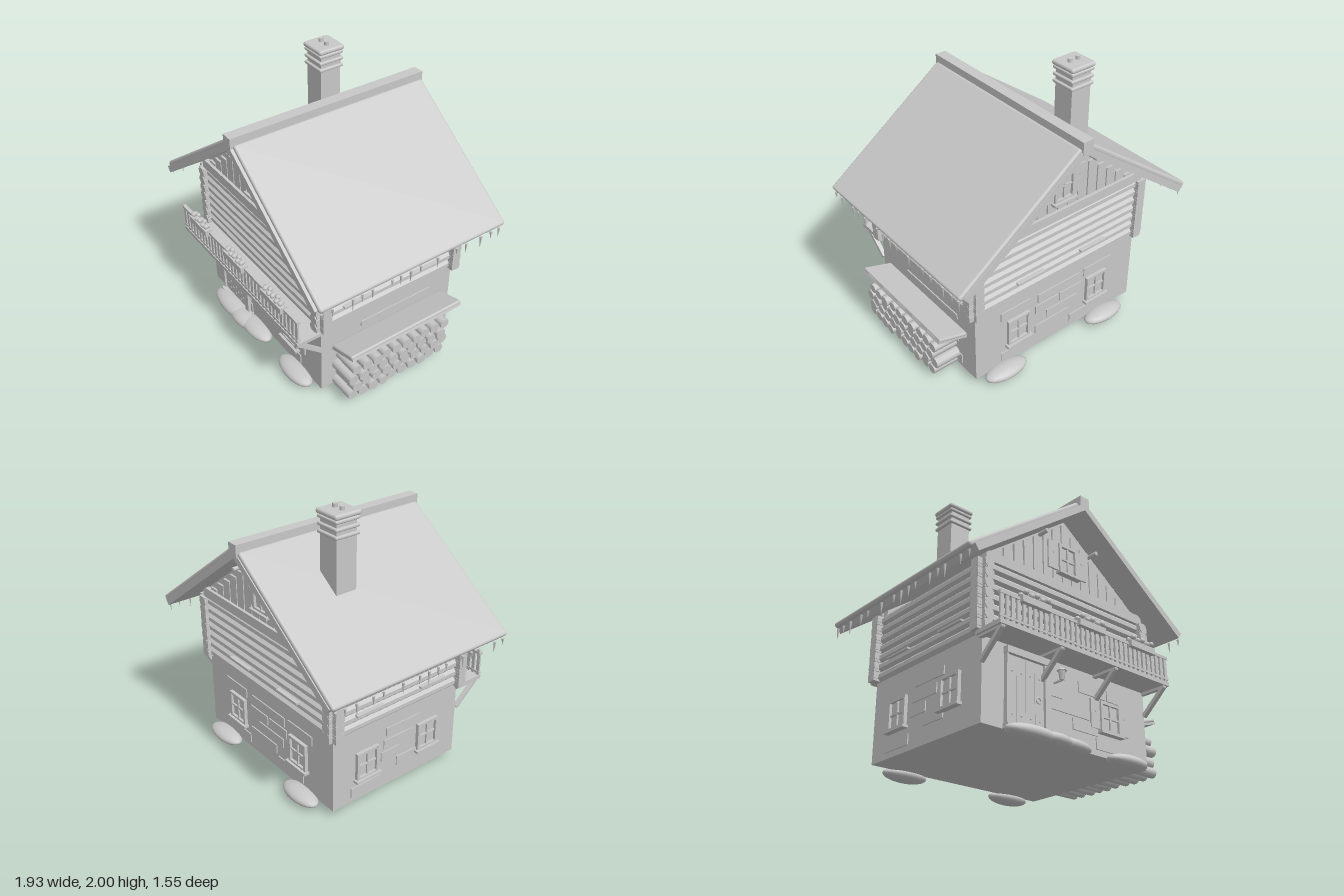
import * as THREE from 'three';
import { RoundedBoxGeometry } from 'three/addons/geometries/RoundedBoxGeometry.js';

const grey = new THREE.MeshStandardMaterial({ color: 0xc8c8c8 });
grey.name = 'plainGrey';

function add(parent, name, geo, x = 0, y = 0, z = 0, rx = 0, ry = 0, rz = 0) {
  const m = new THREE.Mesh(geo, grey);
  m.name = name;
  m.position.set(x, y, z);
  m.rotation.set(rx, ry, rz);
  parent.add(m);
  return m;
}
// box given by its limits
function box(parent, name, x0, x1, y0, y1, z0, z1) {
  return add(parent, name, new THREE.BoxGeometry(x1 - x0, y1 - y0, z1 - z0), (x0 + x1) / 2, (y0 + y1) / 2, (z0 + z1) / 2);
}
function group(parent, name, x = 0, y = 0, z = 0, ry = 0) {
  const g = new THREE.Group();
  g.name = name;
  g.position.set(x, y, z);
  g.rotation.y = ry;
  parent.add(g);
  return g;
}
// outline in x and y, extruded from z0 to z1
function prism(parent, name, pts, z0, z1) {
  const s = new THREE.Shape(pts.map(p => new THREE.Vector2(p[0], p[1])));
  return add(parent, name, new THREE.ExtrudeGeometry(s, { depth: z1 - z0, bevelEnabled: false }), 0, 0, z0);
}
const mirrored = half => half.concat(half.slice().reverse().filter(p => p[0] > 0).map(p => [-p[0], p[1]]));

// framed window with cross bars, sill and optional shutters; wall surface at z = 0
function window4(parent, x, y, w, h, shutter) {
  const g = group(parent, 'window', x, y, 0), a = w / 2, b = h / 2, t = 0.02;
  box(g, 'glass', -a, a, -b, b, -0.01, 0.006);
  for (const s of [-1, 1]) {
    box(g, 'frameSide', s * (a - t / 2) - t / 2, s * (a - t / 2) + t / 2, -b, b, 0, 0.025);
    box(g, 'frameRail', -a, a, s * (b - t / 2) - t / 2, s * (b - t / 2) + t / 2, 0, 0.024);
    if (shutter) {
      const c = s * (a + shutter / 2 + 0.002);
      box(g, 'shutter', c - shutter / 2, c + shutter / 2, -b + 0.015, b, 0, 0.013);
      add(g, 'shutterCutout', new THREE.CylinderGeometry(0.012, 0.012, 0.006, 3), c, 0.03, 0.014, Math.PI / 2);
    }
  }
  box(g, 'mullion', -0.006, 0.006, -b, b, 0, 0.018);
  box(g, 'crossBar', -a, a, -0.006, 0.006, 0, 0.018);
  box(g, 'sill', -a - 0.015, a + 0.015, -b - 0.012, -b + 0.006, 0, 0.042);
}
function stones(parent, list) {
  for (const [x0, x1, y0, y1] of list) box(parent, 'stone', x0, x1, y0, y1, -0.02, 0.008);
}

// vertical planks with stepped tops, beam and small window
function gable(parent, name, z, ry) {
  const g = group(parent, name, 0, 0, z, ry);
  prism(g, 'gableWall', [[-0.7, 1.1], [0.7, 1.1], [0.7, 1.175], [0, 1.69], [-0.7, 1.175]], -0.05, 0);
  box(g, 'gableBeam', -0.71, 0.71, 1.1, 1.17, 0, 0.035);
  for (let i = -7; i <= 7; i++) {
    const x = i * 0.0855, top = 1.65 - 0.728 * (Math.abs(x) + 0.036);
    if (top > 1.18) box(g, 'plank', x - 0.038, x + 0.038, 1.17, top, 0, 0.015);
  }
  const w = group(g, 'gableWindow', 0, 0, 0.014);
  window4(w, 0, 1.35, 0.165, 0.22, 0.09);
  for (const s of [-1, 1]) add(g, 'purlinEnd', new THREE.CylinderGeometry(0.015, 0.015, 0.08, 8), s * 0.23, 1.48, 0.04, Math.PI / 2);
}

export function createModel() {
  const house = new THREE.Group();
  house.name = 'chalet';

  // masonry ground floor
  box(house, 'baseWalls', -0.71, 0.71, 0.06, 0.62, -0.56, 0.54);
  const front = group(house, 'frontWall', 0, 0, 0.54);
  const back = group(house, 'backWall', 0, 0, -0.56, Math.PI);
  const left = group(house, 'sideWallWithWood', 0.71, 0, -0.01, Math.PI / 2);
  const right = group(house, 'sideWallPlain', -0.71, 0, -0.01, -Math.PI / 2);
  stones(front, [[0.08, 0.32, 0.445, 0.52], [0.34, 0.45, 0.445, 0.52], [-0.18, 0.17, 0.275, 0.345], [-0.18, -0.065, 0.36, 0.435],
    [0.02, 0.24, 0.185, 0.26], [0.225, 0.47, 0.1, 0.175], [-0.2, -0.165, 0.06, 0.17]]);
  stones(back, [[-0.18, 0.2, 0.45, 0.52], [-0.5, -0.25, 0.46, 0.53], [0.24, 0.5, 0.46, 0.53], [-0.2, 0, 0.36, 0.43], [0.02, 0.22, 0.36, 0.43],
    [-0.1, 0.18, 0.27, 0.34], [-0.2, 0.1, 0.18, 0.25], [0.12, 0.4, 0.1, 0.17], [-0.5, -0.22, 0.1, 0.17]]);
  stones(right, [[-0.12, 0.13, 0.36, 0.43], [-0.14, 0.02, 0.27, 0.34], [0.0, 0.2, 0.18, 0.25], [-0.4, -0.15, 0.1, 0.17], [-0.1, 0.2, 0.46, 0.52]]);
  stones(left, [[-0.23, 0.36, 0.47, 0.51], [0.2, 0.4, 0.1, 0.17], [0.2, 0.36, 0.27, 0.34]]);
  window4(front, 0.355, 0.325, 0.185, 0.21, 0.08);
  for (const s of [-1, 1]) {
    window4(back, s * 0.355, 0.33, 0.185, 0.21, 0);
    window4(right, s * 0.27, 0.33, 0.185, 0.21, 0);
  }

  // door
  const door = group(front, 'door');
  for (let i = 0; i < 4; i++) {
    const x = -0.525 + i * 0.073;
    box(door, 'doorPlank', x, x + 0.07, 0.08, 0.53, 0, 0.015);
    for (const y of [0.16, 0.43]) add(door, 'stud', new THREE.SphereGeometry(0.006, 8, 6), x + 0.035, y, 0.016);
  }
  box(door, 'doorPost', -0.54, -0.525, 0.06, 0.53, 0, 0.03);
  box(door, 'doorPost', -0.232, -0.185, 0.06, 0.53, 0, 0.03);
  box(door, 'lintel', -0.542, -0.18, 0.53, 0.575, 0, 0.04);
  box(door, 'doorStep', -0.55, -0.16, 0.06, 0.09, 0, 0.05);
  add(door, 'handleRing', new THREE.TorusGeometry(0.018, 0.005, 6, 14), -0.28, 0.29, 0.02);

  // wall lantern
  const lamp = group(front, 'lantern', -0.13, 0.49, 0.07);
  add(lamp, 'lampGlass', new THREE.CylinderGeometry(0.024, 0.016, 0.06, 6), 0, -0.01, 0);
  add(lamp, 'lampRoof', new THREE.ConeGeometry(0.034, 0.025, 6), 0, 0.033, 0);
  box(lamp, 'lampArm', -0.005, 0.005, -0.045, -0.035, -0.07, 0.01);

  // log storey
  const logs = group(house, 'logWalls');
  box(logs, 'logCore', -0.7, 0.7, 0.6, 1.12, -0.55, 0.53);
  const pitch = 0.0687, r = 0.0372;
  const longLog = new THREE.CylinderGeometry(r, r, 1.54, 8, 1, false, Math.PI / 8).toNonIndexed();
  const sideLog = new THREE.CylinderGeometry(r, r, 1.205, 8, 1, false, Math.PI / 8).toNonIndexed();
  longLog.computeVertexNormals();
  sideLog.computeVertexNormals();
  for (let i = 0; i < 7; i++) {
    const y = 0.655 + i * pitch;
    for (const s of [-1, 1]) {
      add(logs, 'frontLog', longLog, 0, y, -0.01 + s * 0.54, 0, 0, Math.PI / 2);
      add(logs, 'sideLog', sideLog, s * 0.7, y, -0.008, Math.PI / 2);
      // squared log ends at the corners
      for (const t of [-1, 1]) {
        const x = s * 0.735, z = -0.01 + t * 0.54;
        box(logs, 'logEnd', x - 0.034, x + 0.034, y - 0.033, y + 0.033, z - 0.033, z + 0.033);
        box(logs, 'logEnd', s * 0.7 - 0.033, s * 0.7 + 0.033, y - 0.033, y + 0.033, -0.01 + t * 0.565 - 0.034, -0.01 + t * 0.565 + 0.034);
      }
    }
  }
  for (const s of [-1, 1]) for (const z of [0.27, -0.28]) {
    box(logs, 'snowStrip', s * 0.738 - 0.015, s * 0.738 + 0.015, 0.738, 0.75, z - 0.115, z + 0.115);
    box(logs, 'snowStrip', z - 0.115, z + 0.115, 0.738, 0.75, -0.603, -0.57);
  }

  gable(house, 'frontGable', 0.535, 0);
  gable(house, 'backGable', -0.555, Math.PI);

  // roof
  const roof = group(house, 'roof');
  prism(roof, 'roofBoards', mirrored([[0, 1.725], [0.935, 1.045], [0.905, 1.005], [0, 1.67]].reverse()), -0.77, 0.74);
  for (const s of [-1, 1]) {
    const geo = new RoundedBoxGeometry(1.14, 0.04, 1.485, 3, 0.017);
    add(roof, 'roofCover', geo, s * 0.497, 1.376, -0.022, 0, 0, -s * 0.629);
  }
  box(roof, 'ridge', -0.04, 0.04, 1.68, 1.77, -0.775, 0.74);
  const icicles = [0.7, 0.62, 0.47, 0.4, 0.32, 0.17, 0.1, 0.02, -0.06, -0.2, -0.36, -0.44, -0.57, -0.66, -0.73];
  icicles.forEach((z, i) => {
    const h = 0.05 + 0.05 * ((i * 7) % 5) / 4;
    for (const s of [-1, 1]) add(roof, 'icicle', new THREE.ConeGeometry(0.01, h, 6), s * 0.945, 1.015 - h / 2, z, Math.PI);
  });

  // chimney
  const chimney = group(house, 'chimney', -0.36, 0, -0.235);
  box(chimney, 'stack', -0.08, 0.08, 1.3, 1.95, -0.08, 0.08);
  for (const y of [1.82, 1.87, 1.92]) add(chimney, 'band', new RoundedBoxGeometry(0.192, 0.024, 0.192, 2, 0.01), 0, y + 0.005, 0);
  add(chimney, 'cap', new RoundedBoxGeometry(0.205, 0.035, 0.205, 3, 0.016), 0, 1.957, 0);
  for (const s of [-1, 1]) add(chimney, 'pot', new THREE.CylinderGeometry(0.017, 0.017, 0.06, 12), s * 0.034, 1.97, 0);

  // balcony
  const balcony = group(house, 'balcony');
  box(balcony, 'floor', -0.745, 0.745, 0.597, 0.625, 0.52, 0.745);
  box(balcony, 'topRail', -0.745, 0.745, 0.79, 0.81, 0.72, 0.745);
  box(balcony, 'lowerRail', -0.745, 0.745, 0.64, 0.655, 0.723, 0.743);
  for (let i = 0; i < 34; i++) {
    const x = -0.728 + i * 0.0441;
    box(balcony, 'baluster', x - 0.013, x + 0.013, 0.625, 0.79, 0.727, 0.74);
  }
  for (const x of [-0.715, -0.24, 0.235, 0.71]) {
    add(balcony, 'strut', new THREE.BoxGeometry(0.03, 0.25, 0.025), x, 0.512, 0.635, 0.85);
    box(balcony, 'joist', x - 0.015, x + 0.015, 0.58, 0.6, 0.53, 0.735);
  }
  for (const x of [-0.475, 0, 0.475]) {
    const planter = group(balcony, 'flowerBox', x, 0, 0.745);
    box(planter, 'trough', -0.117, 0.117, 0.775, 0.82, -0.03, 0.025);
    for (let i = 0; i < 10; i++) {
      add(planter, 'flower', new THREE.IcosahedronGeometry(0.018, 1), -0.1 + i * 0.0222, 0.833 + (i * 3 % 4) * 0.006, i % 2 ? 0.01 : -0.015);
    }
  }

  // stacked firewood under a slanted shelter
  const pile = group(house, 'firewood');
  for (let row = 0; row < 4; row++) for (let i = 0; i < 10; i++) {
    const len = 0.185 + ((i * 5 + row * 3) % 4) * 0.005, rad = 0.036 + ((i + row * 2) % 3) * 0.002;
    add(pile, 'firewoodLog', new THREE.CylinderGeometry(rad, rad, len, 10), 0.72 + len / 2, 0.1 + row * 0.075,
      0.422 - i * 0.083 - (row % 2) * 0.03, 0, 0, Math.PI / 2);
  }
  add(pile, 'shelterBoard', new THREE.BoxGeometry(0.235, 0.02, 0.92), 0.82, 0.428, -0.01, 0, 0, 0.3);
  add(pile, 'shelterSnow', new RoundedBoxGeometry(0.225, 0.025, 0.93, 2, 0.011), 0.82, 0.447, -0.01, 0, 0, 0.3);
  for (const z of [0.2, -0.06, -0.35]) box(pile, 'shelterBracket', 0.71, 0.74, 0.34, 0.41, z - 0.008, z + 0.008);

  // snow drifts at the foot of the walls
  const drift = new THREE.SphereGeometry(1, 20, 12);
  for (const [x, z, w] of [[-0.37, 0.6, 0.21], [-0.2, 0.6, 0.15], [-0.06, 0.585, 0.18], [0.46, 0.585, 0.175], [0.49, -0.605, 0.17], [-0.42, -0.605, 0.17]]) {
    add(house, 'snowDrift', drift, x, 0.05, z).scale.set(w, 0.045, 0.08);
  }
  house.children[house.children.length - 6].scale.y = 0.05;
  return house;
}
